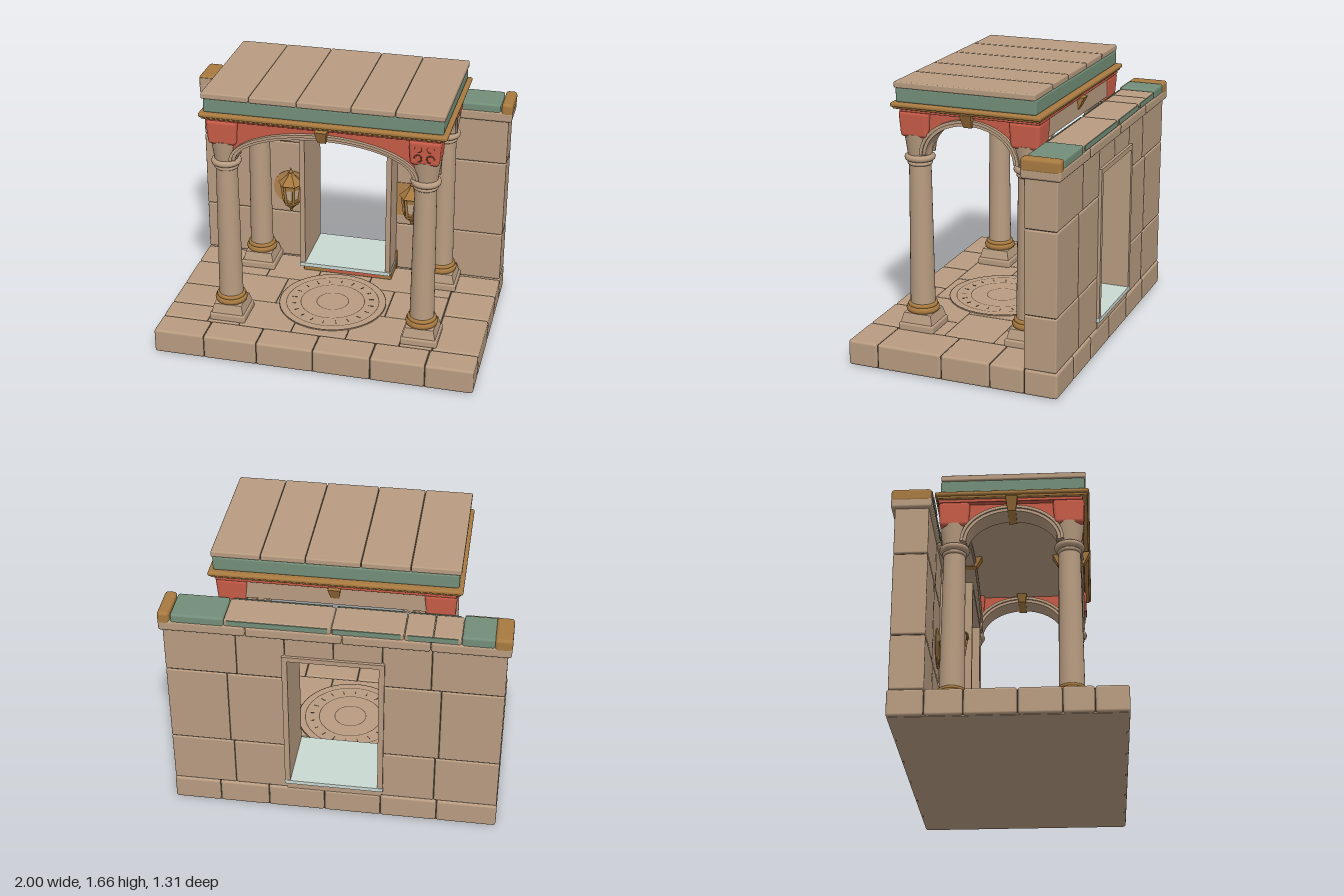
import * as THREE from 'three';
import { RoundedBoxGeometry } from 'three/addons/geometries/RoundedBoxGeometry.js';

const material = (name, color) => {
  const m = new THREE.MeshStandardMaterial({ color });
  m.name = name;
  return m;
};

export function createModel() {
  const stone = material('stone', 0xb89c81);
  const seam = material('dark seam', 0x57473a);
  const gold = material('aged gold', 0xa87a40);
  const green = material('green glaze', 0x738e79);
  const red = material('red paint', 0xc65b47);
  const darkRed = material('carved red', 0x93402f);
  const pale = material('pale sill', 0xcad8d2);
  const ochre = material('ochre stain', 0xb0834d);
  const pane = material('lantern pane', 0xc4ab8f);

  const model = new THREE.Group();
  const add = (name, geo, mat, x = 0, y = 0, z = 0, parent = model) => {
    const mesh = new THREE.Mesh(geo, mat);
    mesh.name = name;
    mesh.position.set(x, y, z);
    parent.add(mesh);
    return mesh;
  };
  // Box given by its limits; r rounds the edges
  const block = (name, mat, x0, x1, y0, y1, z0, z1, r = 0, parent = model) => {
    const s = [x1 - x0, y1 - y0, z1 - z0];
    const geo = r ? new RoundedBoxGeometry(...s, 2, Math.min(r, Math.min(...s) * 0.45)) : new THREE.BoxGeometry(...s);
    return add(name, geo, mat, (x0 + x1) / 2, (y0 + y1) / 2, (z0 + z1) / 2, parent);
  };
  // Row of stones along x with narrow joints
  const g = 0.002;
  const row = (name, mat, edges, y0, y1, z0, z1, r = 0.009, parent = model) => {
    for (let i = 0; i < edges.length - 1; i++)
      block(name, mat, edges[i] + g, edges[i + 1] - g, y0 + g, y1 - g, z0 + g, z1 - g, r, parent);
  };
  const group = (name) => {
    const o = new THREE.Group();
    o.name = name;
    model.add(o);
    return o;
  };

  // Paved base
  const base = group('base');
  block('baseCore', seam, -0.965, 0.965, 0.006, 0.145, -0.625, 0.64, 0, base);
  block('baseUnderside', stone, -0.965, 0.965, 0, 0.007, -0.625, 0.64, 0, base);
  row('frontKerb', stone, [-0.983, -0.67, -0.34, 0.01, 0.36, 0.69, 0.983], 0, 0.158, 0.472, 0.658, 0.015, base);
  row('backKerb', stone, [-0.983, -0.62, -0.28, 0.06, 0.4, 0.7, 0.983], 0, 0.158, -0.643, -0.44, 0.015, base);
  [[-0.983, -0.7, [-0.44, -0.23, 0.06, 0.3, 0.472]], [0.7, 0.983, [-0.44, -0.23, 0.07, 0.472]]].forEach(([a, b, zs]) => {
    for (let i = 0; i < zs.length - 1; i++) row('sideKerb', stone, [a, b], 0, 0.158, zs[i], zs[i + 1], 0.015, base);
  });
  [[-0.44, -0.14], [-0.14, 0.17], [0.17, 0.472]].forEach(([a, b], i) =>
    row('floorTile', stone, i % 2 ? [-0.7, -0.35, 0, 0.35, 0.7] : [-0.7, -0.5, -0.17, 0.17, 0.5, 0.7], 0.01, 0.157, a, b, 0.007, base));

  // Round floor medallion
  const medal = group('floorMedallion');
  add('medallionDisc', new THREE.CylinderGeometry(0.335, 0.335, 0.008, 48), stone, 0, 0.157, 0.085, medal);
  [0.333, 0.29, 0.2, 0.1].forEach((r) => {
    const ring = add('medallionGroove', new THREE.RingGeometry(r - 0.0025, r + 0.0025, 48), seam, 0, 0.1625, 0.085, medal);
    ring.rotation.x = -Math.PI / 2;
  });
  for (let i = 0; i < 20; i++) {
    const a = (i / 20) * Math.PI * 2;
    const mark = add('medallionMark', new THREE.BoxGeometry(0.03, 0.002, 0.004), seam,
      Math.cos(a) * 0.245, 0.1625, 0.085 + Math.sin(a) * 0.245, medal);
    mark.rotation.y = -a;
  }

  // Back wall, open in the middle for the doorway
  const wall = group('wall');
  const zb = -0.635, zf = -0.437;
  for (const s of [-1, 1]) {
    const xs = [0.285, 0.965].map((v) => v * s).sort((a, b) => a - b);
    block('wallCore', seam, xs[0], xs[1], 0.15, 1.27, zb + 0.012, zf - 0.012, 0, wall);
    [[0.155, 0.48, 0.6], [0.48, 0.98, 0.62], [0.98, 1.275, 0.56]].forEach(([y0, y1, cut]) =>
      row('wallStone', stone, [0.28, cut, 0.98].map((v) => v * s).sort((a, b) => a - b), y0, y1, zb, zf, 0.009, wall));
  }
  block('lintelCore', seam, -0.3, 0.3, 1.145, 1.27, zb + 0.012, zf - 0.012, 0, wall);
  row('lintelStone', stone, [-0.28, 0, 0.28], 1.135, 1.275, zb, zf, 0.009, wall);
  block('wallSill', stone, -0.285, 0.285, 0.15, 0.205, zb, zf, 0, wall);
  // Stains behind the lanterns
  add('wallStain', new THREE.CylinderGeometry(0.12, 0.12, 0.006, 24), ochre, -0.4, 0.66, zf, wall).rotation.x = Math.PI / 2;
  block('wallStain', ochre, 0.29, 0.55, 0.55, 0.78, zf - 0.004, zf + 0.003, 0, wall);

  // Wall coping
  const coping = group('coping');
  row('copingLip', stone, [-1, -0.55, -0.05, 0.5, 1], 1.265, 1.335, -0.657, -0.42, 0.015, coping);
  row('copingStone', stone, [-0.72, -0.56, -0.4, 0.01, 0.62], 1.32, 1.374, -0.65, -0.427, 0.012, coping);
  block('copingGreen', green, -0.905, -0.72, 1.31, 1.383, -0.65, -0.427, 0.014, coping);
  block('copingGreen', green, 0.62, 0.925, 1.31, 1.378, -0.65, -0.427, 0.014, coping);
  block('copingEnd', gold, -1, -0.9, 1.305, 1.387, -0.655, -0.424, 0.02, coping);
  block('copingEnd', gold, 0.93, 1, 1.305, 1.387, -0.655, -0.422, 0.02, coping);
  block('copingFace', stone, -0.985, -0.725, 1.325, 1.375, -0.428, -0.421, 0, coping);
  block('copingPatch', green, -0.92, -0.76, 1.333, 1.375, -0.422, -0.419, 0, coping);
  [[-0.7, -0.42], [-0.38, 0], [0.03, 0.6]].forEach(([a, b]) => {
    block('copingStripe', green, a, b, 1.337, 1.368, -0.653, -0.648, 0, coping);
    block('copingStripe', green, a, b, 1.34, 1.37, -0.429, -0.424, 0, coping);
  });

  // Deep doorway lining
  const door = group('doorway');
  const lining = new THREE.Shape([[-0.295, 0.2], [0.295, 0.2], [0.295, 1.145], [-0.295, 1.145]].map((p) => new THREE.Vector2(...p)));
  lining.holes.push(new THREE.Path([[-0.263, 0.215], [-0.263, 1.115], [0.263, 1.115], [0.263, 0.215]].map((p) => new THREE.Vector2(...p))));
  add('doorLining', new THREE.ExtrudeGeometry(lining, { depth: 0.405, bevelEnabled: false }), stone, 0, 0, -0.65, door);
  block('doorSill', pale, -0.297, 0.297, 0.2, 0.225, -0.653, -0.237, 0, door);
  block('doorStep', gold, -0.28, 0.3, 0.155, 0.198, -0.44, -0.27, 0.006, door);
  block('stepInset', red, -0.13, 0.22, 0.165, 0.19, -0.275, -0.267, 0, door);
  block('doorFoot', gold, 0.284, 0.307, 0.155, 0.287, -0.44, -0.42, 0.004, door);
  // Slim bow over the door
  const crest = new THREE.Shape();
  crest.moveTo(-0.11, 1.14);
  crest.quadraticCurveTo(0.01, 1.205, 0.13, 1.14);
  crest.lineTo(0.1, 1.14);
  crest.quadraticCurveTo(0.01, 1.175, -0.08, 1.14);
  add('doorCrest', new THREE.ExtrudeGeometry(crest, { depth: 0.012, bevelEnabled: false }), gold, 0, 0, -0.438, door);

  // Columns with plinths, rings and painted blocks
  const X = [-0.578, 0.613], Z = [-0.33, 0.345], cx = 0.02, cz = 0.01;
  const flat = (geo) => { geo.computeVertexNormals(); return geo; };
  const square = (top, bottom, h) =>
    flat(new THREE.CylinderGeometry(top * Math.SQRT2, bottom * Math.SQRT2, h, 4, 1).toNonIndexed().rotateY(Math.PI / 4));
  for (const x of X) for (const z of Z) {
    const col = group('column');
    col.position.set(x, 0, z);
    const ring = (name, mat, r, tube, y) =>
      add(name, new THREE.TorusGeometry(r, tube, 10, 28).rotateX(Math.PI / 2), mat, 0, y, 0, col);
    block('plinth', stone, -0.112, 0.112, 0.15, 0.2, -0.112, 0.112, 0.012, col);
    add('plinthSlope', square(0.086, 0.101, 0.06), stone, 0, 0.228, 0, col);
    add('baseDrum', new THREE.CylinderGeometry(0.082, 0.085, 0.06, 28), gold, 0, 0.282, 0, col);
    ring('baseRing', gold, 0.076, 0.023, 0.276);
    ring('baseRing', gold, 0.075, 0.014, 0.301);
    add('shaft', new THREE.CylinderGeometry(0.064, 0.074, 0.9, 28), stone, 0, 0.75, 0, col);
    ring('neckRing', stone, 0.07, 0.02, 1.205);
    ring('neckRing', stone, 0.062, 0.012, 1.172);
    add('capital', new THREE.CylinderGeometry(0.088, 0.068, 0.14, 28), stone, 0, 1.28, 0, col);
    // Block narrowing slightly downwards
    const geo = new RoundedBoxGeometry(0.185, 0.155, 0.185, 3, 0.022);
    const p = geo.attributes.position;
    for (let i = 0; i < p.count; i++) {
      const k = 0.96 + p.getY(i) * 0.75;
      p.setX(i, p.getX(i) * k);
      p.setZ(i, p.getZ(i) * k);
    }
    add('capitalBlock', geo, red, 0, 1.412, 0, col);
    // Scroll carving on one front block
    if (x > 0 && z > 0) for (const s of [-1, 1]) for (const y of [1.382, 1.442]) {
      const scroll = add('scroll', new THREE.TorusGeometry(0.021, 0.004, 6, 16, 4.8), darkRed, s * 0.036, y, 0.0885, col);
      scroll.rotation.y = s < 0 ? Math.PI : 0;
    }
  }

  // Arches: spandrel panel, stone moulding and keystone
  const arch = (a, b, x, z, turn, panelMat) => {
    const o = group('arch');
    o.position.set(x, 1.235, z);
    o.rotation.y = turn;
    const half = a + 0.036, top = 0.265;
    const panel = new THREE.Shape();
    panel.moveTo(-half, 0);
    panel.absellipse(0, 0, a + 0.02, b + 0.02, Math.PI, 0, true);
    panel.lineTo(half, 0);
    panel.lineTo(half, top);
    panel.lineTo(-half, top);
    const ringShape = (inner, outer) => {
      const s = new THREE.Shape();
      s.absellipse(0, 0, a + outer, b + outer, 0, Math.PI, false);
      s.absellipse(0, 0, a + inner, b + inner, Math.PI, 0, true);
      return s;
    };
    const cut = (shape, d) => new THREE.ExtrudeGeometry(shape, { depth: d, bevelEnabled: false, curveSegments: 32 });
    add('spandrel', cut(panel, 0.11), panelMat, 0, 0, -0.055, o);
    add('archBand', cut(ringShape(0, 0.034), 0.136), stone, 0, 0, -0.068, o);
    add('archBead', cut(ringShape(0.018, 0.036), 0.156), stone, 0, 0, -0.078, o);
    const key = add('keystone', square(0.036, 0.024, 0.08), gold, 0, b + 0.035, 0, o);
    key.scale.z = 3.4;
  };
  arch(0.525, 0.182, cx, Z[1], 0, red);
  arch(0.525, 0.182, cx, Z[0], 0, stone);
  X.forEach((x) => arch(0.268, 0.195, x, cz, Math.PI / 2, red));
  block('rearPanel', stone, -0.5, 0.535, 1.372, 1.49, -0.412, -0.38);

  // Roof: red band, gold moulding, green frieze and planks
  const roof = group('roof');
  block('roofBand', red, -0.668, 0.703, 1.484, 1.51, -0.424, 0.428, 0.004, roof);
  block('ceiling', stone, -0.55, 0.59, 1.475, 1.5, -0.3, 0.31, 0, roof);
  block('goldMoulding', gold, -0.703, 0.745, 1.515, 1.542, -0.443, 0.468, 0.012, roof);
  block('goldMoulding', gold, -0.69, 0.73, 1.503, 1.52, -0.432, 0.456, 0.006, roof);
  block('frieze', green, -0.678, 0.72, 1.54, 1.628, -0.41, 0.442, 0.012, roof);
  block('plankCore', seam, -0.67, 0.71, 1.62, 1.65, -0.39, 0.425, 0, roof);
  row('roofPlank', stone, [-0.69, -0.405, -0.125, 0.19, 0.445, 0.73], 1.622, 1.663, -0.408, 0.45, 0.008, roof);

  // Wall lanterns, one flat pane facing forward
  for (const x of [-0.375, 0.413]) {
    const o = group('lantern');
    o.position.set(x, 0.69, -0.33);
    const hex = (name, mat, rt, rb, h, y) =>
      add(name, flat(new THREE.CylinderGeometry(rt, rb, h, 6).toNonIndexed().rotateY(Math.PI / 6)), mat, 0, y, 0, o);
    hex('panes', pane, 0.062, 0.045, 0.13, -0.01);
    hex('paneHead', gold, 0.065, 0.061, 0.03, 0.036);
    hex('paneFoot', gold, 0.051, 0.048, 0.02, -0.062);
    hex('lanternRim', gold, 0.074, 0.07, 0.016, 0.055);
    hex('lanternRoof', gold, 0.03, 0.084, 0.05, 0.083);
    hex('lanternCap', gold, 0.018, 0.032, 0.025, 0.118);
    hex('lanternFoot', gold, 0.056, 0.05, 0.018, -0.08);
    hex('lanternTail', gold, 0.045, 0.012, 0.035, -0.105);
    add('finial', new THREE.SphereGeometry(0.014, 12, 8), gold, 0, 0.138, 0, o);
    add('finialTip', new THREE.ConeGeometry(0.008, 0.025, 8), gold, 0, 0.157, 0, o);
    add('tailBead', new THREE.SphereGeometry(0.011, 12, 8), gold, 0, -0.13, 0, o);
    for (let i = 0; i < 6; i++) {
      const a = ((i + 0.5) / 6) * Math.PI * 2, s = Math.sin(a), c = Math.cos(a);
      const path = new THREE.LineCurve3(new THREE.Vector3(s * 0.047, -0.075, c * 0.047), new THREE.Vector3(s * 0.065, 0.05, c * 0.065));
      add('lanternBar', new THREE.TubeGeometry(path, 1, 0.009, 6), gold, 0, 0, 0, o);
    }
    block('bracket', gold, -0.012, 0.012, -0.095, -0.07, -0.108, 0, 0.004, o);
    block('wallPlate', gold, -0.03, 0.03, -0.12, 0.02, -0.108, -0.096, 0.004, o);
  }
  return model;
}
